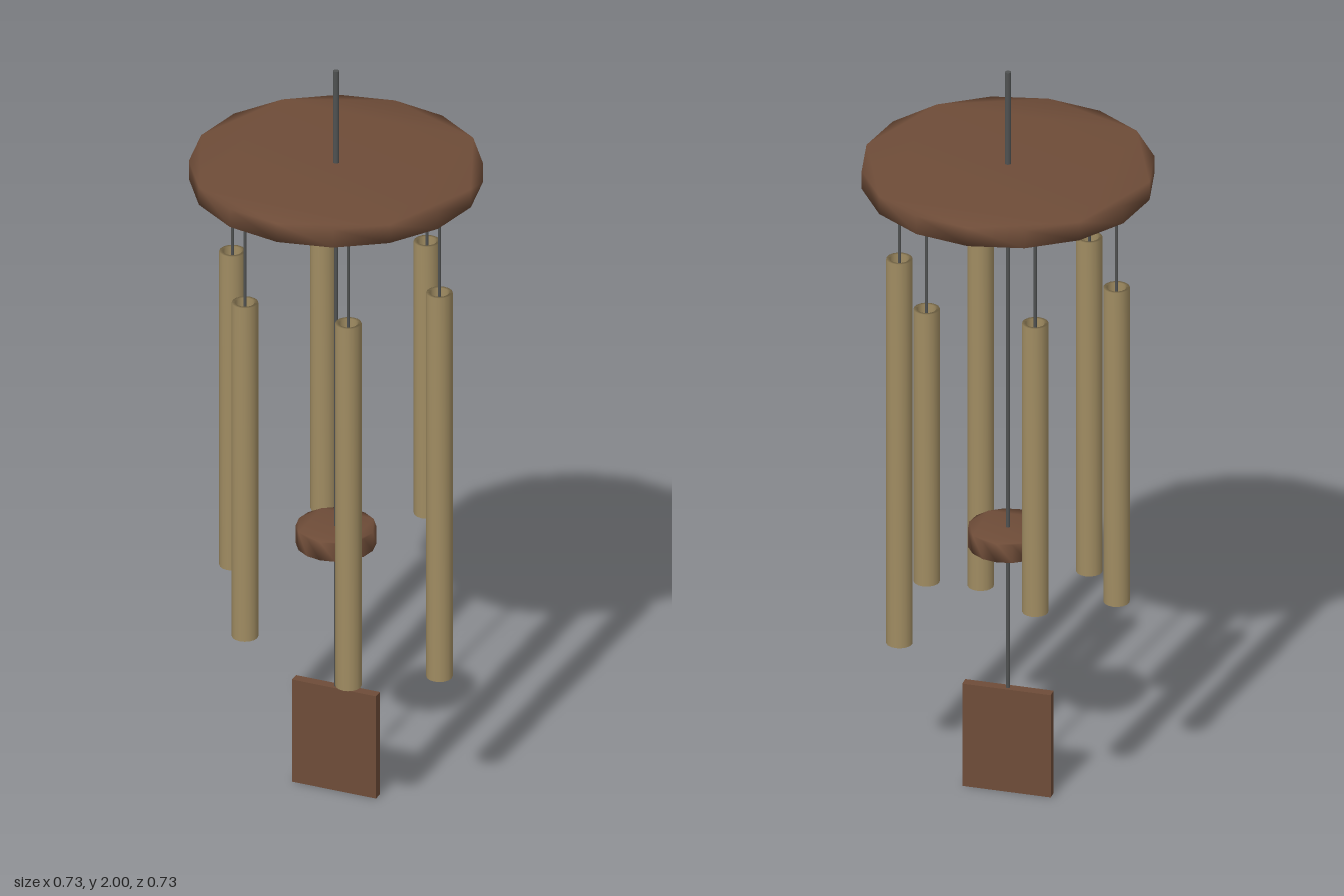
import * as THREE from 'three';
import { mergeVertices } from 'three/addons/utils/BufferGeometryUtils.js';

const paint = (name, color) => {
  const m = new THREE.MeshStandardMaterial({ color });
  m.name = name;
  return m;
};

export function createModel() {
  const wood = paint('brown wood', 0x6e4c38);
  const brass = paint('aged brass', 0xa08c62);
  const cord = paint('dark grey cord', 0x505252);
  const model = new THREE.Group();
  model.name = 'windChime';

  const add = (name, geometry, material, x = 0, y = 0, z = 0, parent = model) => {
    const mesh = new THREE.Mesh(geometry, material);
    mesh.name = name;
    mesh.position.set(x, y, z);
    parent.add(mesh);
    return mesh;
  };

  // Weld corners so the shading runs smoothly over the edges
  const weld = (geometry) => {
    geometry.deleteAttribute('normal');
    geometry.deleteAttribute('uv');
    const welded = mergeVertices(geometry, 1e-4);
    welded.computeVertexNormals();
    return welded;
  };

  // Flat many-sided wooden disc standing on y = 0
  const disc = (radius, height, sides) => {
    const corners = Array.from({ length: sides }, (_, i) => {
      const a = (i / sides) * Math.PI * 2;
      return new THREE.Vector2(Math.cos(a) * radius, Math.sin(a) * radius);
    });
    const g = new THREE.ExtrudeGeometry(new THREE.Shape(corners), { depth: height, bevelEnabled: false });
    return weld(g.rotateX(-Math.PI / 2));
  };

  // Hollow tube hanging down from y = 0
  const tube = (length, outer, inner) => weld(new THREE.LatheGeometry([
    [outer, -length], [outer, 0], [inner, 0], [inner, -length], [outer, -length],
  ].map(([r, y]) => new THREE.Vector2(r, y)), 16));

  // Vertical line between two heights
  const line = (name, radius, bottom, top, x = 0, z = 0, parent = model) =>
    add(name, new THREE.CylinderGeometry(radius, radius, top - bottom, 8), cord,
      x, (top + bottom) / 2, z, parent);

  // Top disc, hanger and central cord
  add('topDisc', disc(0.365, 0.05, 16), wood, 0, 1.695, 0);
  line('hanger', 0.008, 1.74, 2);
  line('centreCord', 0.005, 0.28, 1.7);

  // Six tubes in a ring, each shorter than the last
  const bottoms = [0.37, 0.43, 0.51, 0.565, 0.637, 0.682];
  const tubeTop = 1.44;
  bottoms.forEach((bottom, i) => {
    const a = (i / bottoms.length) * Math.PI * 2;
    const chime = new THREE.Group();
    chime.name = `chime${i + 1}`;
    chime.position.set(Math.cos(a) * 0.28, 0, Math.sin(a) * 0.28);
    model.add(chime);
    add('tube', tube(tubeTop - bottom, 0.033, 0.024), brass, 0, tubeTop, 0, chime);
    line('string', 0.004, tubeTop - 0.02, 1.7, 0, 0, chime);
  });

  // Striker and wind paddle
  add('striker', disc(0.1, 0.05, 16), wood, 0, 0.682, 0);
  add('paddle', new THREE.BoxGeometry(0.228, 0.285, 0.026), wood, 0, 0.1425, 0);

  return model;
}
